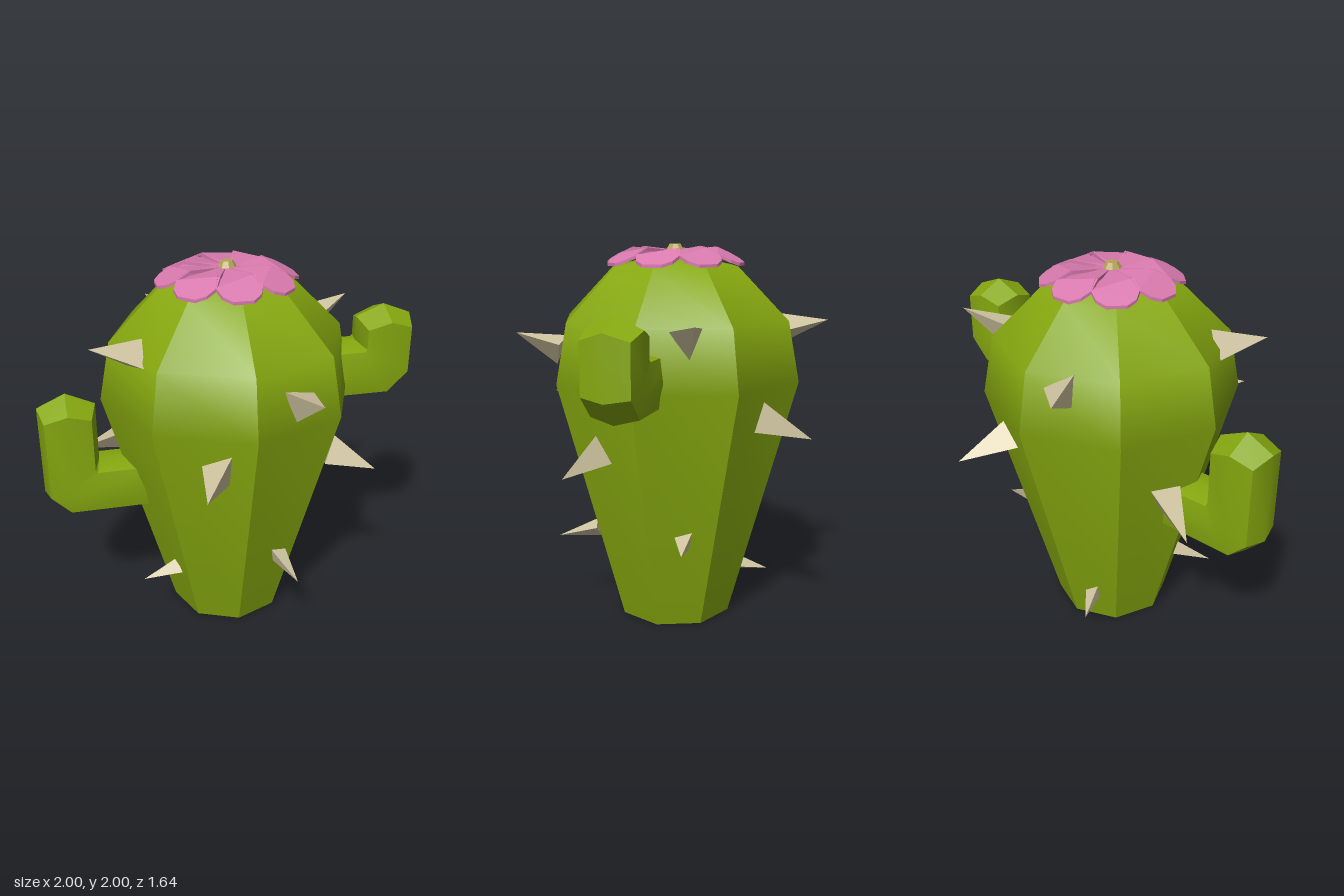
import * as THREE from 'three';
import { mergeGeometries, toCreasedNormals } from 'three/addons/utils/BufferGeometryUtils.js';

const green = new THREE.MeshStandardMaterial({ color: 0x86a80f });
const pink = new THREE.MeshStandardMaterial({ color: 0xd97aae });
const bone = new THREE.MeshStandardMaterial({ color: 0xcfc4a0 });
const ochre = new THREE.MeshStandardMaterial({ color: 0xb5a35a });

function add(parent, name, geometry, material) {
  const mesh = new THREE.Mesh(geometry, material);
  mesh.name = name;
  parent.add(mesh);
  return mesh;
}

// Eight-sided trunk: each side is smooth vertically, with a sharp rib between sides
function trunkGeometry() {
  const profile = [[0.31, 0], [0.67, 1.31], [0.61, 1.62], [0.34, 1.89], [0, 1.955]]
    .map(([r, y]) => new THREE.Vector2(r, y));
  const sides = [];
  for (let i = 0; i < 8; i++) {
    const side = new THREE.LatheGeometry(profile, 1, i * Math.PI / 4, Math.PI / 4);
    side.computeVertexNormals();
    sides.push(side);
  }
  sides.push(new THREE.CircleGeometry(0.31, 8).rotateX(Math.PI / 2));
  return mergeGeometries(sides);
}

// Elbow-shaped arm reaching along +x: stations are [innerX, innerY, outerX, outerY]
function armGeometry(stations, apex) {
  // Bulged square section: [fraction from inner to outer, z]
  const ring = [[0, 0], [0.1, 0.12], [0.5, 0.14], [0.9, 0.12],
    [1, 0], [0.9, -0.12], [0.5, -0.14], [0.1, -0.12]];
  const positions = [], index = [];
  stations.forEach(([ix, iy, ox, oy], s) => {
    ring.forEach(([t, z], j) => {
      const drop = s === stations.length - 1 && j % 2 ? 0.04 : 0;
      positions.push(ix + (ox - ix) * t, iy + (oy - iy) * t - drop, z);
    });
  });
  positions.push(apex[0], apex[1], 0);
  const top = stations.length * 8;
  for (let s = 0; s < stations.length; s++) {
    for (let j = 0; j < 8; j++) {
      const a = s * 8 + j, b = s * 8 + (j + 1) % 8;
      if (s === stations.length - 1) index.push(a, b, top);
      else index.push(a, b, a + 8, b, b + 8, a + 8);
    }
  }
  const geometry = new THREE.BufferGeometry();
  geometry.setAttribute('position', new THREE.Float32BufferAttribute(positions, 3));
  geometry.setIndex(index);
  return toCreasedNormals(geometry, 0.7);
}

// Thin petal pointing along -z, arched up and drooping at its tip
function petalGeometry() {
  const half = [[0.015, 0.04], [0.09, 0.2], [0.115, 0.27], [0.095, 0.325], [0.05, 0.36]];
  const outline = [...half, ...half.map(([x, r]) => [-x, r]).reverse()];
  const shape = new THREE.Shape(outline.map(([x, r]) => new THREE.Vector2(x, r)));
  const geometry = new THREE.ExtrudeGeometry(shape, { depth: 0.016, bevelEnabled: false });
  geometry.rotateX(-Math.PI / 2);
  const p = geometry.attributes.position;
  for (let i = 0; i < p.count; i++) {
    const r = -p.getZ(i);
    const y = r < 0.2 ? 1.95 + 0.1 * r : 1.97 - (r - 0.2) * 0.48;
    p.setY(i, p.getY(i) + y);
  }
  geometry.computeVertexNormals();
  return geometry;
}

// Three-sided thorn from a point on the trunk to its tip
function thornGeometry(base, tip, radius) {
  const from = new THREE.Vector3(...base);
  const dir = new THREE.Vector3(...tip).sub(from);
  const length = dir.length();
  const cone = new THREE.ConeGeometry(radius, length, 3).translate(0, length / 2, 0);
  const turn = new THREE.Quaternion().setFromUnitVectors(new THREE.Vector3(0, 1, 0), dir.normalize());
  const geometry = cone.applyQuaternion(turn).translate(from.x, from.y, from.z).toNonIndexed();
  geometry.computeVertexNormals();
  return geometry;
}

export function createModel() {
  const model = new THREE.Group();
  model.name = 'cactus';
  const plant = new THREE.Group();
  plant.name = 'plant';
  plant.position.z = -0.02;
  model.add(plant);

  add(plant, 'trunk', trunkGeometry(), green);

  // Arms: high on the left, low on the right
  add(plant, 'leftArm', armGeometry([
    [0.5, 1.52, 0.5, 1.22], [0.7, 1.52, 0.88, 1.22],
    [0.7, 1.52, 1, 1.34], [0.7, 1.65, 1, 1.65],
  ], [0.85, 1.71]), green);
  add(plant, 'rightArm', armGeometry([
    [0.42, 0.97, 0.42, 0.69], [0.7, 0.97, 0.89, 0.69],
    [0.7, 0.97, 1, 0.8], [0.7, 1.29, 1, 1.29],
  ], [0.85, 1.36]), green).rotation.y = Math.PI;

  // Flower
  const flower = new THREE.Group();
  flower.name = 'flower';
  plant.add(flower);
  const petal = petalGeometry();
  for (let i = 0; i < 8; i++) add(flower, 'petal', petal, pink).rotation.y = i * Math.PI / 4;
  const centre = new THREE.CylinderGeometry(0.03, 0.055, 0.04, 8).toNonIndexed();
  centre.computeVertexNormals();
  add(flower, 'flowerCentre', centre, ochre).position.y = 1.98;

  // Thorns: base, tip, base radius
  const thorns = [
    [[-0.49, 1.62, 0.22], [-0.73, 1.71, 0.28], 0.095],
    [[0.22, 1.46, 0.54], [0.27, 1.54, 0.78], 0.095],
    [[-0.16, 1.15, 0.56], [-0.28, 1.13, 0.82], 0.095],
    [[0.5, 0.99, 0.22], [0.74, 0.9, 0.31], 0.095],
    [[0.52, 1.57, -0.25], [0.76, 1.66, -0.36], 0.095],
    [[0.21, 1.16, -0.56], [0.32, 1.09, -0.82], 0.095],
    [[-0.18, 1.56, -0.56], [-0.32, 1.6, -0.78], 0.095],
    [[-0.53, 0.98, -0.24], [-0.77, 0.86, -0.35], 0.095],
    [[0.44, 0.55, -0.22], [0.6, 0.52, -0.25], 0.055],
    [[0.19, 0.47, 0.36], [0.25, 0.42, 0.57], 0.055],
    [[-0.32, 0.33, 0.17], [-0.52, 0.31, 0.22], 0.05],
    [[-0.15, 0.22, -0.34], [-0.23, 0.18, -0.5], 0.05],
  ];
  for (const [base, tip, radius] of thorns) add(model, 'thorn', thornGeometry(base, tip, radius), bone);

  return model;
}
